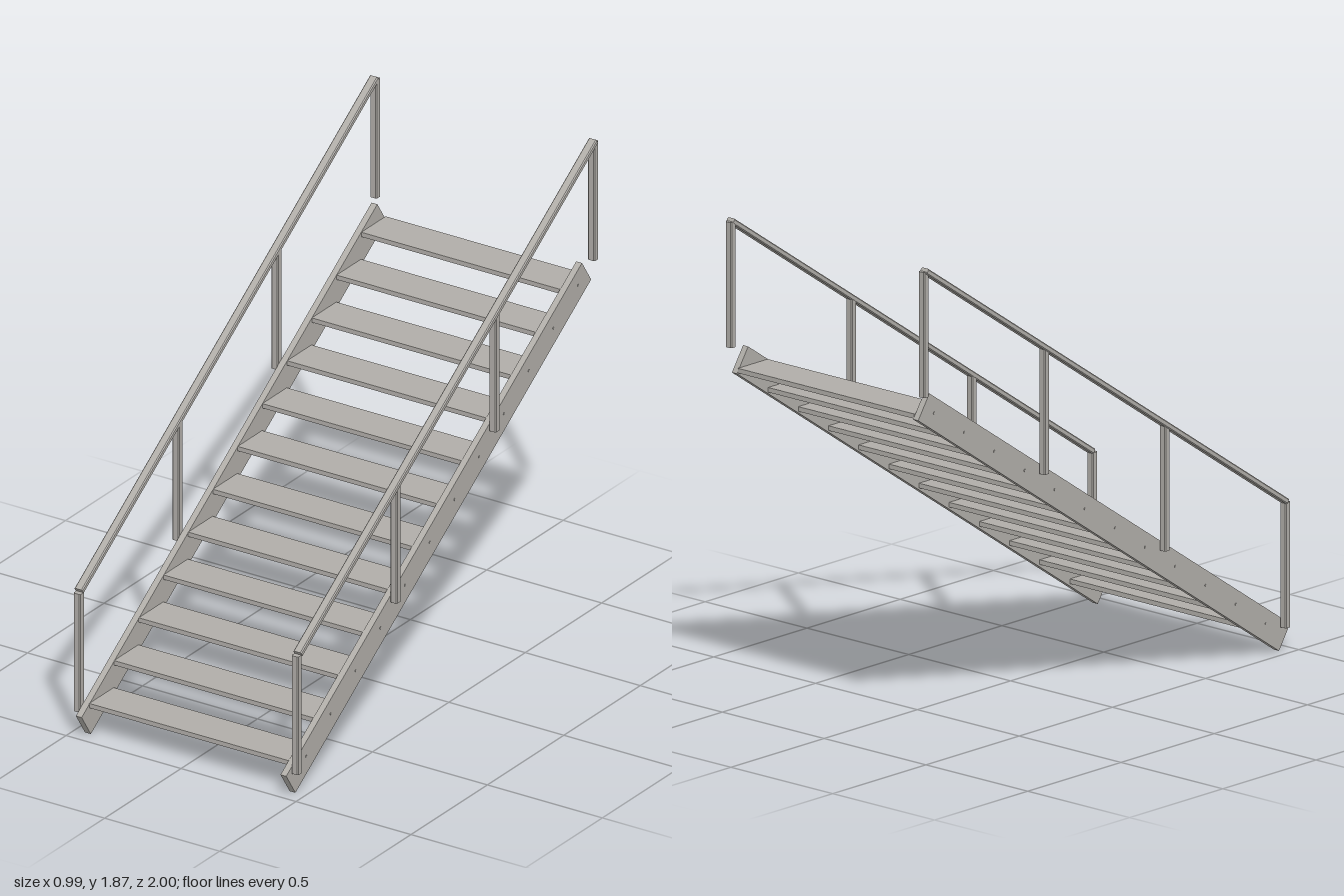
import * as THREE from 'three';

const SLOPE = Math.atan2(1.29, 1.935);

// Square bar with chamfered long edges, centred, running along z
function bar(width, height, length, c) {
  const a = width / 2, b = height / 2;
  const shape = new THREE.Shape([
    [a - c, -b], [a, -b + c], [a, b - c], [a - c, b],
    [-a + c, b], [-a, b - c], [-a, -b + c], [-a + c, -b],
  ].map(([x, y]) => new THREE.Vector2(x, y)));
  return new THREE.ExtrudeGeometry(shape, { depth: length, bevelEnabled: false })
    .translate(0, 0, -length / 2);
}

export function createModel() {
  const group = new THREE.Group();
  const metal = new THREE.MeshStandardMaterial({ color: 0xb0ada8 });
  metal.name = 'warmGrey';

  function add(name, geometry, x, y, z) {
    const mesh = new THREE.Mesh(geometry, metal);
    mesh.name = name;
    mesh.position.set(x, y, z);
    group.add(mesh);
    return mesh;
  }

  // Sloping side boards, drawn as a (z, y) outline
  const outline = new THREE.Shape([[0.94, 0], [1, 0.09], [-0.935, 1.38], [-0.995, 1.29]]
    .map(([z, y]) => new THREE.Vector2(z, y)));
  const stringer = new THREE.ExtrudeGeometry(outline, { depth: 0.025, bevelEnabled: false })
    .rotateY(-Math.PI / 2).translate(0.0125, 0, 0);

  const post = bar(0.03, 0.028, 0.474, 0.004).rotateX(Math.PI / 2);
  const rail = bar(0.035, 0.021, 2.324, 0.004).rotateX(SLOPE);
  const bolt = new THREE.CylinderGeometry(0.005, 0.005, 0.004, 10).rotateZ(Math.PI / 2);
  const tread = new THREE.BoxGeometry(0.866, 0.018, 0.16);

  // Open treads
  for (let i = 0; i < 12; i++) {
    const y = 0.118 + i * 0.1075, z = 0.87 - i * 0.1618;
    add('tread', tread, 0, y, z);
    for (const s of [-1, 1]) add('bolt', bolt, s * 0.458, y, z);
  }

  // Stringers, posts and handrails on both sides
  for (const s of [-1, 1]) {
    const side = s > 0 ? 'left' : 'right';
    add(side + 'Stringer', stringer, s * 0.445, 0, 0);
    for (let i = 0; i < 4; i++) {
      add(side + 'Post', post, s * 0.474, 0.327 + i * 0.4303, 0.956 - i * 0.6465);
    }
    add(side + 'Handrail', rail, s * 0.476, 1.213, -0.016);
  }
  return group;
}
